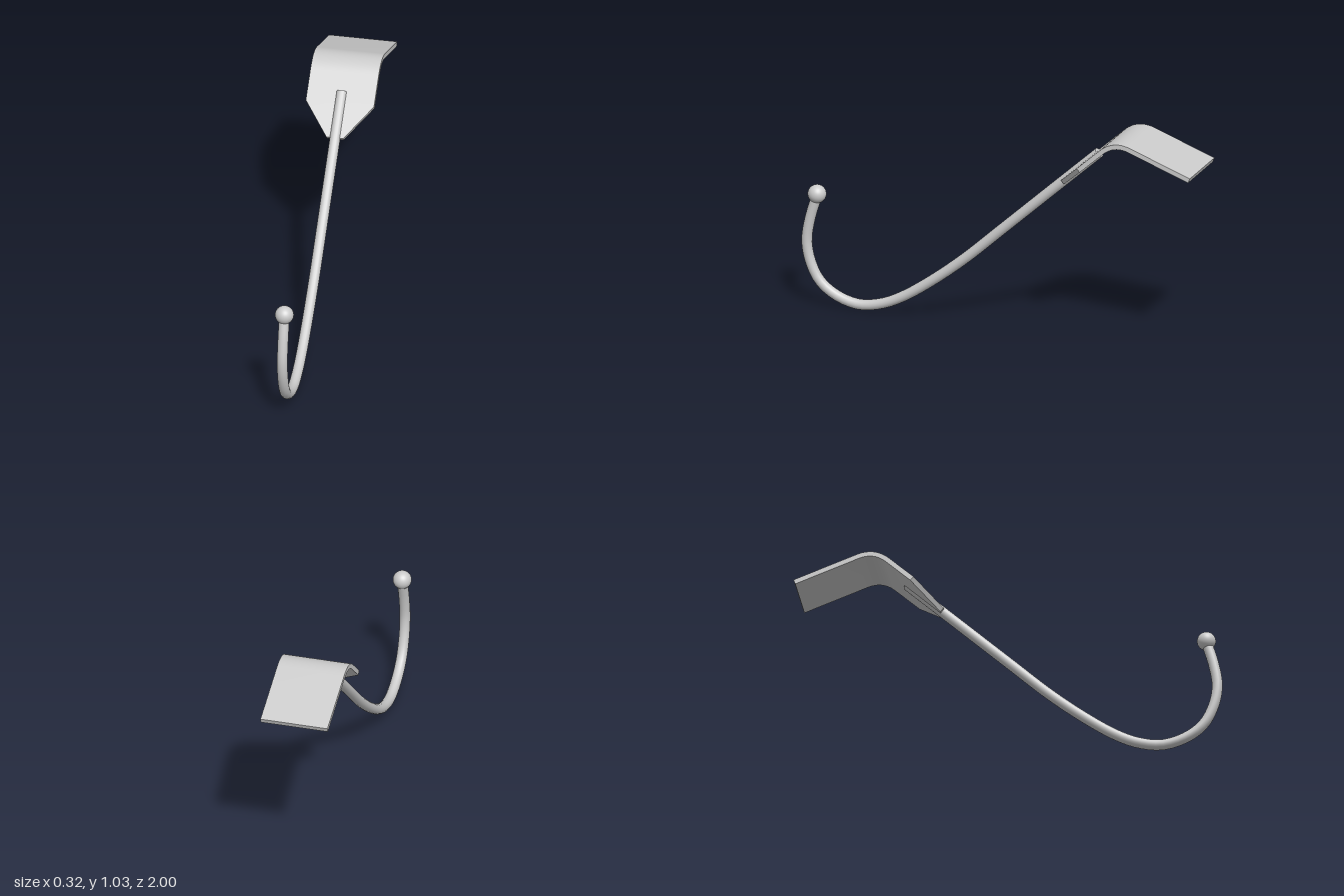
import * as THREE from 'three';
import { toCreasedNormals } from 'three/addons/utils/BufferGeometryUtils.js';

const material = new THREE.MeshStandardMaterial({ color: 0xcccccc });
const at = (z, y) => new THREE.Vector3(0, y, z);

function addMesh(group, geometry, name) {
  const mesh = new THREE.Mesh(geometry, material);
  mesh.name = name;
  group.add(mesh);
  return mesh;
}

// Bent strip: rectangular cross-sections swept along a centre line, tapering at the front
function bentPlate(thickness) {
  const front = at(-0.315, 0.767), taper = at(-0.44, 0.88), back = at(-0.993, 0.896);
  const corner = at(-0.617, 1.038);
  const toward = (p) => p.clone().sub(corner).setLength(0.085).add(corner);
  const bend = new THREE.QuadraticBezierCurve3(toward(front), corner, toward(back));
  const centre = [front, taper, ...bend.getPoints(12), back];

  const positions = [], index = [];
  centre.forEach((p, i) => {
    const tangent = centre[Math.min(i + 1, centre.length - 1)].clone()
      .sub(centre[Math.max(i - 1, 0)]).normalize();
    const ny = -tangent.z * thickness / 2, nz = tangent.y * thickness / 2;
    const w = i === 0 ? 0.04 : 0.162;
    for (const [sx, sn] of [[-1, 1], [1, 1], [1, -1], [-1, -1]]) {
      positions.push(sx * w, p.y + sn * ny, p.z + sn * nz);
    }
  });
  const last = (centre.length - 1) * 4;
  for (let i = 0; i < last; i += 4) {
    for (let k = 0; k < 4; k++) {
      const a = i + k, b = i + (k + 1) % 4;
      index.push(a, b, b + 4, a, b + 4, a + 4);
    }
  }
  index.push(0, 2, 1, 0, 3, 2, last, last + 1, last + 2, last, last + 2, last + 3);
  const geometry = new THREE.BufferGeometry();
  geometry.setAttribute('position', new THREE.Float32BufferAttribute(positions, 3));
  geometry.setIndex(index);
  return toCreasedNormals(geometry, 0.5);
}

export function createModel() {
  const group = new THREE.Group();
  group.name = 'hook';

  // Mounting plate that hangs over an edge
  addMesh(group, bentPlate(0.023), 'mountingPlate');

  // Round rod: straight shank curling up into the hook
  const radius = 0.025;
  const path = new THREE.CatmullRomCurve3([
    [-0.483, 0.922], [-0.24, 0.703], [0, 0.486], [0.195, 0.311], [0.37, 0.175],
    [0.5, 0.09], [0.6, 0.045], [0.714, 0.026], [0.826, 0.056], [0.91, 0.118],
    [0.958, 0.21], [0.976, 0.31], [0.96, 0.42], [0.928, 0.53],
  ].map(([z, y]) => at(z, y)));
  addMesh(group, new THREE.TubeGeometry(path, 64, radius, 16), 'rod');

  // Flat end of the rod on the plate
  const cap = addMesh(group, new THREE.CircleGeometry(radius, 16), 'rodEnd');
  cap.position.copy(path.getPoint(0));
  cap.lookAt(cap.position.clone().sub(path.getTangent(0)));

  // Ball on the hook tip
  addMesh(group, new THREE.SphereGeometry(0.044, 32, 20), 'ballTip').position.set(0, 0.546, 0.925);

  return group;
}
